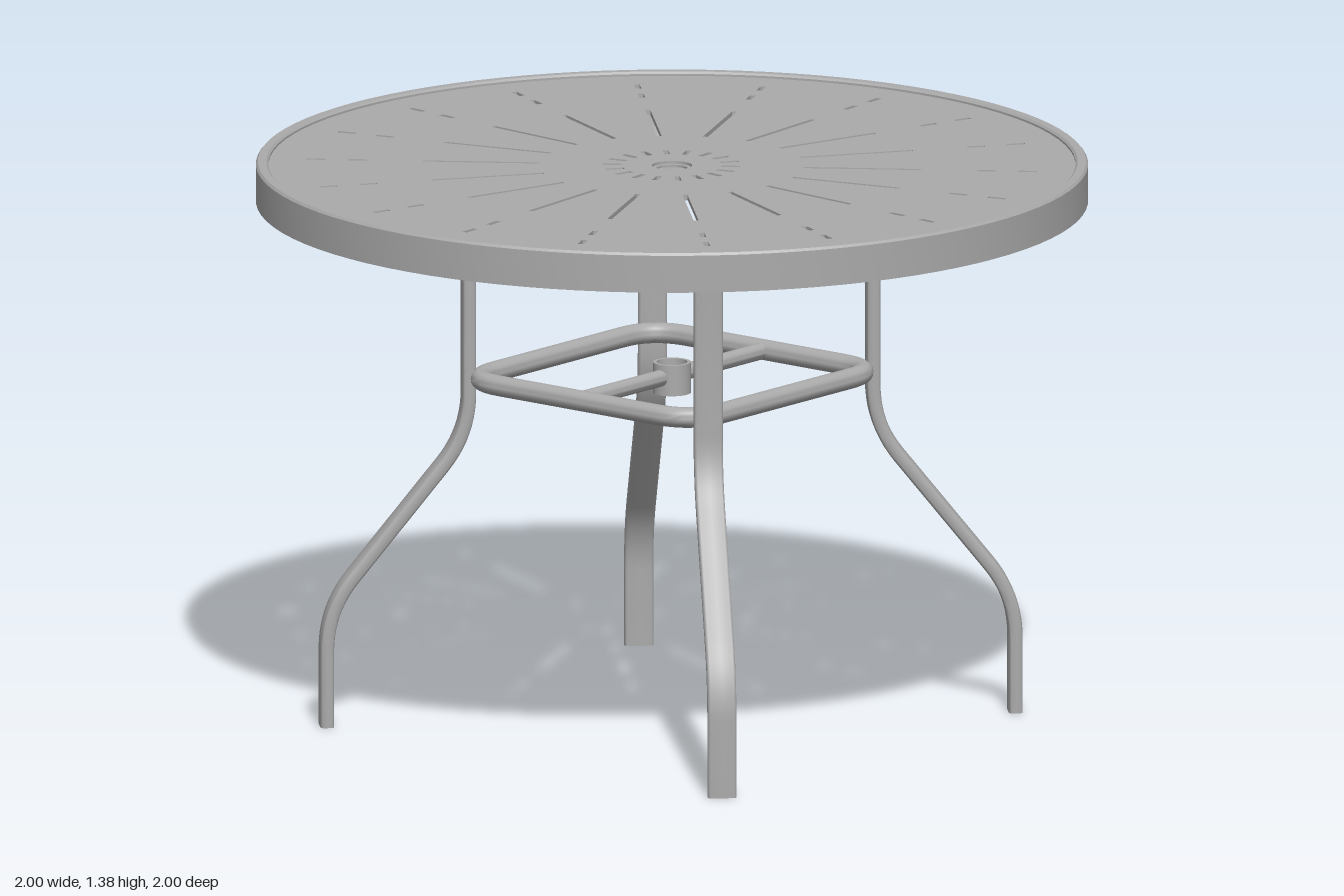
import * as THREE from 'three';
import { toCreasedNormals } from 'three/addons/utils/BufferGeometryUtils.js';

const V = (x, y, z = 0) => new THREE.Vector3(x, y, z);

// Polyline through corners, each rounded by a quadratic fillet of the given trim length
function filletPath(corners, trims, closed = false) {
  const out = [], n = corners.length;
  corners.forEach((p, i) => {
    if (!closed && (i === 0 || i === n - 1)) return out.push(p);
    const toward = (q) => p.clone().add(q.clone().sub(p).setLength(trims[i]));
    const a = toward(corners[(i + n - 1) % n]), b = toward(corners[(i + 1) % n]);
    out.push(...new THREE.QuadraticBezierCurve3(a, p, b).getPoints(10));
  });
  return out;
}

// Sweep a rounded section along a flat path; `side` is the path plane's normal
function sweep(path, side, halfW, halfT, power, closed = false) {
  const S = 20, n = path.length, pos = [], idx = [];
  const soft = (v) => Math.sign(v) * Math.abs(v) ** (2 / power);
  path.forEach((p, i) => {
    const prev = closed ? path[(i + n - 1) % n] : path[Math.max(i - 1, 0)];
    const next = closed ? path[(i + 1) % n] : path[Math.min(i + 1, n - 1)];
    const across = next.clone().sub(prev).normalize().cross(side);
    for (let j = 0; j < S; j++) {
      const a = (j / S) * Math.PI * 2;
      const q = p.clone().addScaledVector(side, halfW * soft(Math.cos(a)))
        .addScaledVector(across, halfT * soft(Math.sin(a)));
      pos.push(q.x, q.y, q.z);
    }
  });
  for (let i = 0; i < (closed ? n : n - 1); i++) {
    for (let j = 0; j < S; j++) {
      const k = (j + 1) % S, m = (i + 1) % n;
      idx.push(i * S + j, i * S + k, m * S + j, i * S + k, m * S + k, m * S + j);
    }
  }
  if (!closed) {
    const c = n * S, e = (n - 1) * S;
    for (const p of [path[0], path[n - 1]]) pos.push(p.x, p.y, p.z);
    for (let j = 0; j < S; j++) {
      const k = (j + 1) % S;
      idx.push(c, k, j, c + 1, e + j, e + k);
    }
  }
  const g = new THREE.BufferGeometry();
  g.setAttribute('position', new THREE.Float32BufferAttribute(pos, 3));
  g.setIndex(idx);
  return toCreasedNormals(g, 0.8);
}

// Ring from a closed profile, listed anticlockwise as [radius, height]
function ring(profile, segments) {
  const pts = [...profile, profile[0]].map(([r, y]) => new THREE.Vector2(r, y));
  return toCreasedNormals(new THREE.LatheGeometry(pts, segments), 0.6);
}
const band = (r0, r1, y0, y1, segments) => ring([[r1, y0], [r1, y1], [r0, y1], [r0, y0]], segments);

export function createModel() {
  const table = new THREE.Group();
  table.name = 'patioTable';
  const metal = new THREE.MeshStandardMaterial({ color: 0xaaaaaa });
  metal.name = 'grey metal';
  const add = (name, geometry) => {
    const mesh = new THREE.Mesh(geometry, metal);
    mesh.name = name;
    table.add(mesh);
    return mesh;
  };

  // Pierced top panel: 18 rays of slots around the umbrella hole
  const disc = new THREE.Shape().absarc(0, 0, 0.975, 0, Math.PI * 2);
  disc.holes.push(new THREE.Path().absarc(0, 0, 0.048, 0, Math.PI * 2));
  const slots = [[0.12, 0.165, 0.007], [0.32, 0.6, 0.006], [0.735, 0.78, 0.007], [0.835, 0.88, 0.007]];
  for (let i = 0; i < 18; i++) {
    const a = Math.PI / 2 + (i * Math.PI) / 9, c = Math.cos(a), s = Math.sin(a);
    for (const [r0, r1, w] of slots) {
      const corners = [[r0, -w], [r1, -w], [r1, w], [r0, w]];
      disc.holes.push(new THREE.Path(
        corners.map(([r, t]) => new THREE.Vector2(r * c - t * s, r * s + t * c))));
    }
  }
  const panel = new THREE.ExtrudeGeometry(disc, { depth: 0.012, bevelEnabled: false, curveSegments: 48 });
  panel.rotateX(-Math.PI / 2).translate(0, 1.357, 0);
  add('topPanel', toCreasedNormals(panel, 0.6));

  // Deep outer rim with a slightly raised lip
  add('rim', ring([[0.985, 1.282], [1, 1.282], [1, 1.373], [0.995, 1.379],
    [0.975, 1.379], [0.97, 1.374], [0.97, 1.356], [0.985, 1.356]], 96));

  // Support ring, cross bars and umbrella collars
  add('supportRing', band(0.885, 0.925, 1.278, 1.356, 96));
  for (const angle of [Math.PI / 4, -Math.PI / 4]) {
    const bar = add('crossBar', sweep([V(-0.89, 1.339), V(0.89, 1.339)], V(0, 0, 1), 0.036, 0.0175, 5));
    bar.rotation.y = angle;
  }
  add('upperCollar', band(0.037, 0.048, 1.29, 1.362, 32));
  add('lowerCollar', band(0.037, 0.046, 0.81, 0.885, 32));

  // Four bent flat-tube legs: [turn, sideways offset]
  const legPath = filletPath(
    [V(0.831, 0), V(0.831, 0.286), V(0.488, 0.715), V(0.488, 1.32), V(0.89, 1.32)],
    [0, 0.1, 0.1, 0.12, 0]);
  const legGeometry = sweep(legPath, V(0, 0, 1), 0.035, 0.017, 5);
  for (const [turn, offset] of [[0, -0.035], [1, 0], [2, 0.035], [3, -0.04]]) {
    const holder = new THREE.Group();
    holder.name = 'legHolder';
    holder.rotation.y = (turn * Math.PI) / 2;
    const leg = add('leg', legGeometry);
    leg.position.z = offset;
    holder.add(leg);
    table.add(holder);
  }

  // Rounded square brace joining the legs
  const R = 0.5, H = 0.852;
  const loop = filletPath([V(R, H, 0), V(0, H, R), V(-R, H, 0), V(0, H, -R)], [0.11, 0.11, 0.11, 0.11], true);
  add('braceLoop', sweep(loop, V(0, 1, 0), 0.025, 0.025, 2, true));

  // Brace strut in two halves, leaving the collar open
  const d = Math.SQRT1_2;
  for (const s of [1, -1]) {
    const at = (r) => V(s * r * d, H, -s * r * d);
    add('braceStrut', sweep([at(0.042), at(R * d)], V(0, 1, 0), 0.02, 0.02, 2));
  }
  return table;
}
